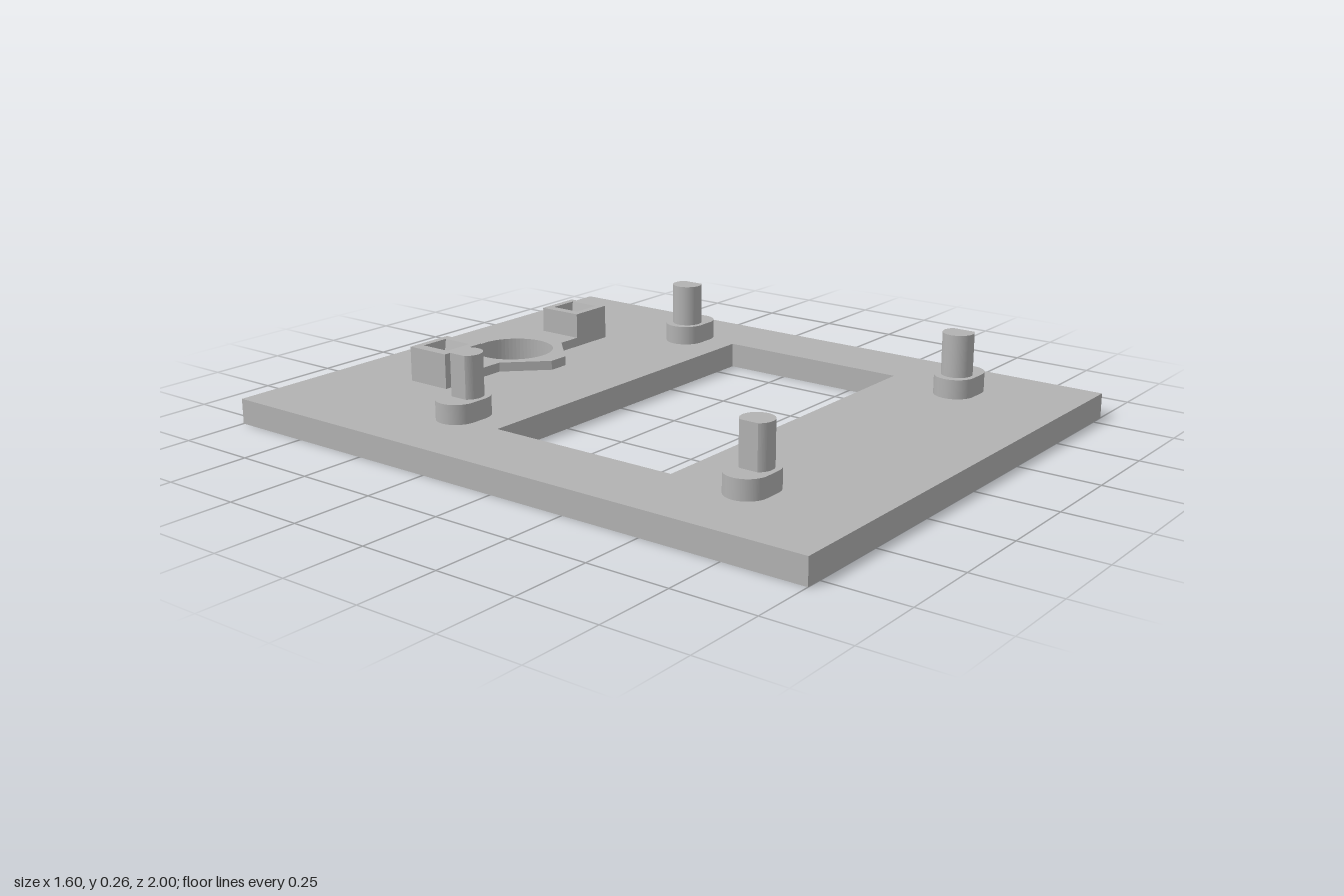
import * as THREE from 'three';

const grey = new THREE.MeshStandardMaterial({ color: 0xb2b2b2 });
grey.name = 'grey plastic';

const PLATE_TOP = 0.077;
const HOLE = { x: 0.022, z: -0.664, r: 0.125 };

// Plan outlines are given as x, z; shapes use y = -z so they lie flat after rotation.
const outline = (points, Type = THREE.Shape) =>
  new Type(points.map(([x, z]) => new THREE.Vector2(x, -z)));
const rect = (x0, x1, z0, z1, Type) =>
  outline([[x0, z1], [x1, z1], [x1, z0], [x0, z0]], Type);
const roundHole = () =>
  new THREE.Path().absarc(HOLE.x, -HOLE.z, HOLE.r, 0, Math.PI * 2, true);

function slab(shape, y0, y1) {
  const geometry = new THREE.ExtrudeGeometry(shape, {
    depth: y1 - y0, bevelEnabled: false, curveSegments: 32,
  });
  return geometry.rotateX(-Math.PI / 2).translate(0, y0, 0);
}

export function createModel() {
  const model = new THREE.Group();
  model.name = 'mountingPlate';
  const add = (name, geometry, parent = model) => {
    const mesh = new THREE.Mesh(geometry, grey);
    mesh.name = name;
    parent.add(mesh);
  };

  // Clip towers: outer x range, pocket at the top, narrow slot at the bottom
  const towers = [
    { name: 'rightClipTower', x: [-0.36, -0.203], pocket: [-0.325, -0.23], slot: [-0.30, -0.262] },
    { name: 'leftClipTower', x: [0.248, 0.393], pocket: [0.278, 0.373], slot: [0.305, 0.343] },
  ];
  const towerZ = [-0.737, -0.591], pocketZ = [-0.715, -0.615], slotZ = [-0.7, -0.633];

  // Base plate with display window, round hole and clip slots
  const plate = rect(-0.8, 0.8, -1, 1);
  plate.holes.push(rect(-0.55, 0.583, -0.203, 0.41, THREE.Path), roundHole());
  for (const t of towers) plate.holes.push(rect(...t.slot, ...slotZ, THREE.Path));
  add('basePlate', slab(plate, 0, PLATE_TOP));

  // Thin collar around the round hole, running between the towers
  const collar = outline([
    [-0.203, -0.591], [-0.125, -0.591], [-0.01, -0.475], [0.055, -0.475], [0.17, -0.591], [0.248, -0.591],
    [0.248, -0.737], [0.17, -0.737], [0.055, -0.855], [-0.01, -0.855], [-0.125, -0.737], [-0.203, -0.737],
  ]);
  collar.holes.push(roundHole());
  add('sensorCollar', slab(collar, PLATE_TOP, 0.106));

  // Towers: the pocket tapers down to the slot
  for (const t of towers) {
    const shape = rect(...t.x, ...towerZ);
    shape.holes.push(rect(...t.pocket, ...pocketZ, THREE.Path));
    const geometry = slab(shape, PLATE_TOP, 0.185);
    const p = geometry.attributes.position;
    for (let i = 0; i < p.count; i++) {
      const x = p.getX(i), z = p.getZ(i);
      const inPocket = x > t.x[0] + 0.01 && x < t.x[1] - 0.01;
      if (!inPocket || p.getY(i) > 0.1) continue;
      p.setX(i, t.slot[x < (t.x[0] + t.x[1]) / 2 ? 0 : 1]);
      p.setZ(i, slotZ[z < (towerZ[0] + towerZ[1]) / 2 ? 0 : 1]);
    }
    geometry.computeVertexNormals();
    add(t.name, geometry);
  }

  // Four standoffs: oblong foot with a round pin, flattened on its outer side
  const sides = [
    { side: -1, foot: [-0.609, -0.434], pin: -0.502, flat: 0.038 },
    { side: 1, foot: [0.47, 0.646], pin: 0.542, flat: 0.031 },
  ];
  const footR = 0.063, pinR = 0.047;
  for (const { side, foot, pin, flat } of sides) {
    for (const z of [-0.36, 0.648]) {
      const standoff = new THREE.Group();
      standoff.name = (z < 0 ? 'back' : 'front') + (side > 0 ? 'Left' : 'Right') + 'Standoff';
      const oblong = new THREE.Shape();
      oblong.absarc(foot[1] - footR, -z, footR, -Math.PI / 2, Math.PI / 2, false);
      oblong.absarc(foot[0] + footR, -z, footR, Math.PI / 2, Math.PI * 1.5, false);
      add('foot', slab(oblong, PLATE_TOP, 0.136), standoff);

      const a = Math.acos(flat / pinR) + (side < 0 ? Math.PI : 0);
      const sweep = Math.PI * 2 - 2 * Math.acos(flat / pinR);
      const round = new THREE.Shape();
      round.absarc(pin, -z, pinR, a, a + sweep, false);
      round.closePath();
      add('pin', slab(round, 0.136, 0.265), standoff);
      model.add(standoff);
    }
  }
  return model;
}
